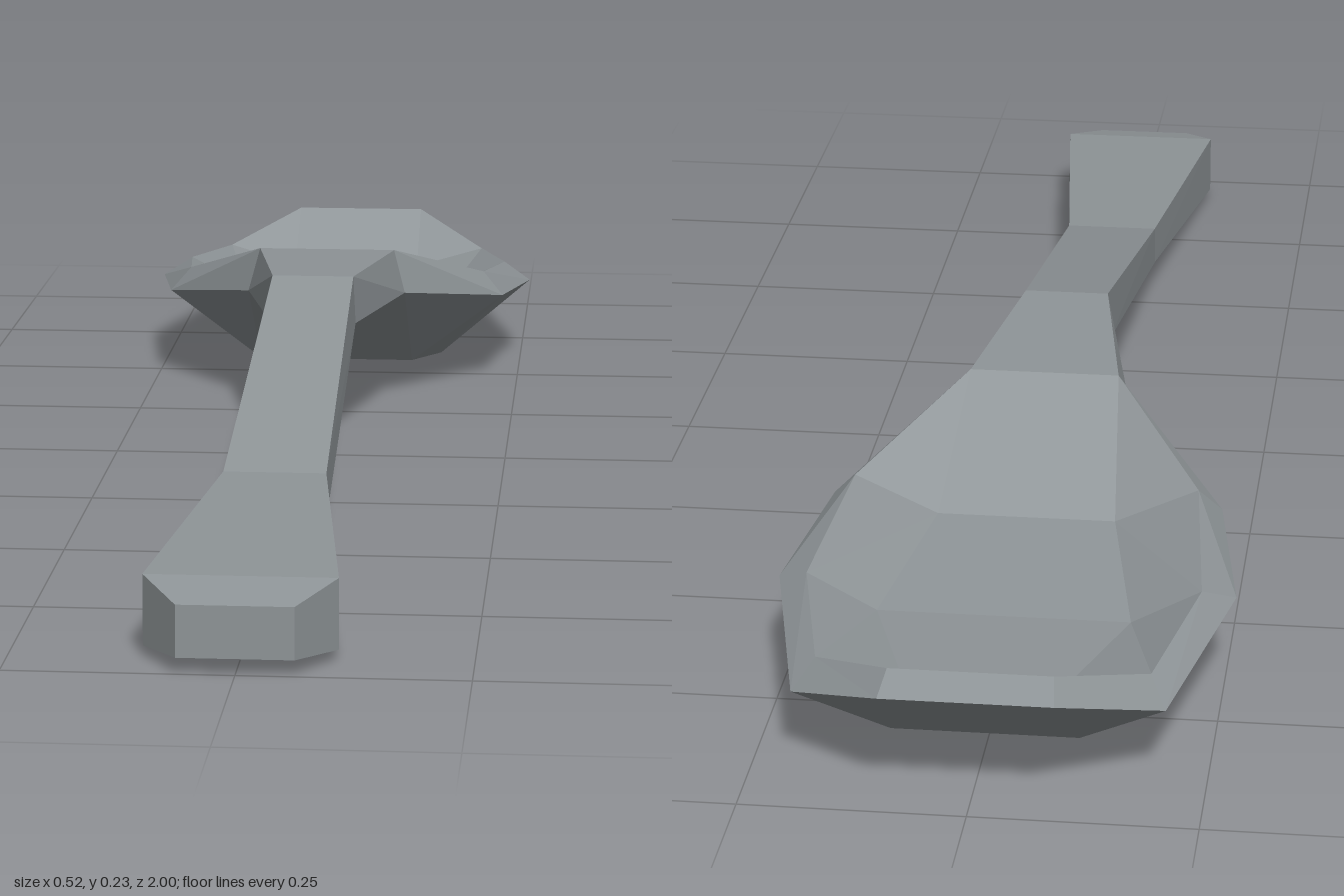
import * as THREE from 'three';

const metal = new THREE.MeshStandardMaterial({ color: 0x8e9497, flatShading: true });
metal.name = 'grey metal';

// Mirrors a half section, listed from top to bottom as [z, half width, y], into a closed loop
function mirrorLoop(half) {
  const left = half.map(([z, w, y]) => new THREE.Vector3(w, y, z));
  const right = half.map(([z, w, y]) => new THREE.Vector3(-w, y, z)).reverse();
  return [...left, ...right];
}

// Skins the loops from front to back with flat faces; caps are extra quads
function loft(name, halves, makeCaps) {
  const loops = halves.map(mirrorLoop);
  const pos = [];
  const tri = (a, b, c) => {
    if (new THREE.Triangle(a, b, c).getArea() < 1e-7) return;
    for (const p of [a, b, c]) pos.push(p.x, p.y, p.z);
  };
  const quad = (a, b, c, d, flip) => {
    if (flip) { tri(a, b, d); tri(b, c, d); } else { tri(a, b, c); tri(a, c, d); }
  };
  for (let i = 0; i < loops.length - 1; i++) {
    const n = loops[i].length;
    for (let j = 0; j < n; j++) {
      const k = (j + 1) % n;
      quad(loops[i][j], loops[i][k], loops[i + 1][k], loops[i + 1][j], j >= n / 2);
    }
  }
  makeCaps(loops, quad);
  const geo = new THREE.BufferGeometry();
  geo.setAttribute('position', new THREE.Float32BufferAttribute(pos, 3));
  geo.computeVertexNormals();
  const mesh = new THREE.Mesh(geo, metal);
  mesh.name = name;
  return mesh;
}

export function createModel() {
  const group = new THREE.Group();
  group.name = 'spoon';

  // Handle: top edge, bottom edge at each station from the butt to the neck
  group.add(loft('handle', [
    [[1.0, 0.063, 0.076], [1.0, 0.063, 0.018]],
    [[0.935, 0.105, 0.091], [0.935, 0.105, 0.012]],
    [[0.52, 0.06, 0.103], [0.52, 0.061, 0.054]],
    [[-0.04, 0.052, 0.226], [-0.04, 0.055, 0.165]],
    [[-0.28, 0.09, 0.216], [-0.27, 0.105, 0.16]],
  ], (loops, quad) => {
    const [a, b, c, d] = loops[0];
    quad(d, c, b, a);
  }));

  // Bowl: inner floor, inner rim, outer rim, underside at each station from neck to tip
  group.add(loft('bowl', [
    [[-0.28, 0.09, 0.216], [-0.28, 0.09, 0.216], [-0.27, 0.105, 0.16], [-0.27, 0.105, 0.16]],
    [[-0.465, 0.105, 0.108], [-0.465, 0.203, 0.153], [-0.45, 0.23, 0.123], [-0.455, 0.105, 0.028]],
    [[-0.68, 0.145, 0.083], [-0.68, 0.225, 0.126], [-0.65, 0.262, 0.106], [-0.64, 0.137, 0.0]],
    [[-0.85, 0.09, 0.085], [-0.86, 0.185, 0.111], [-0.905, 0.205, 0.09], [-0.845, 0.105, 0.02]],
    [[-0.957, 0.09, 0.151], [-0.957, 0.09, 0.151], [-1.0, 0.095, 0.136], [-1.0, 0.095, 0.136]],
  ], (loops, quad) => {
    // Lip at the tip
    const tip = loops[loops.length - 1];
    quad(tip[1], tip[2], tip[5], tip[6]);
  }));

  return group;
}
